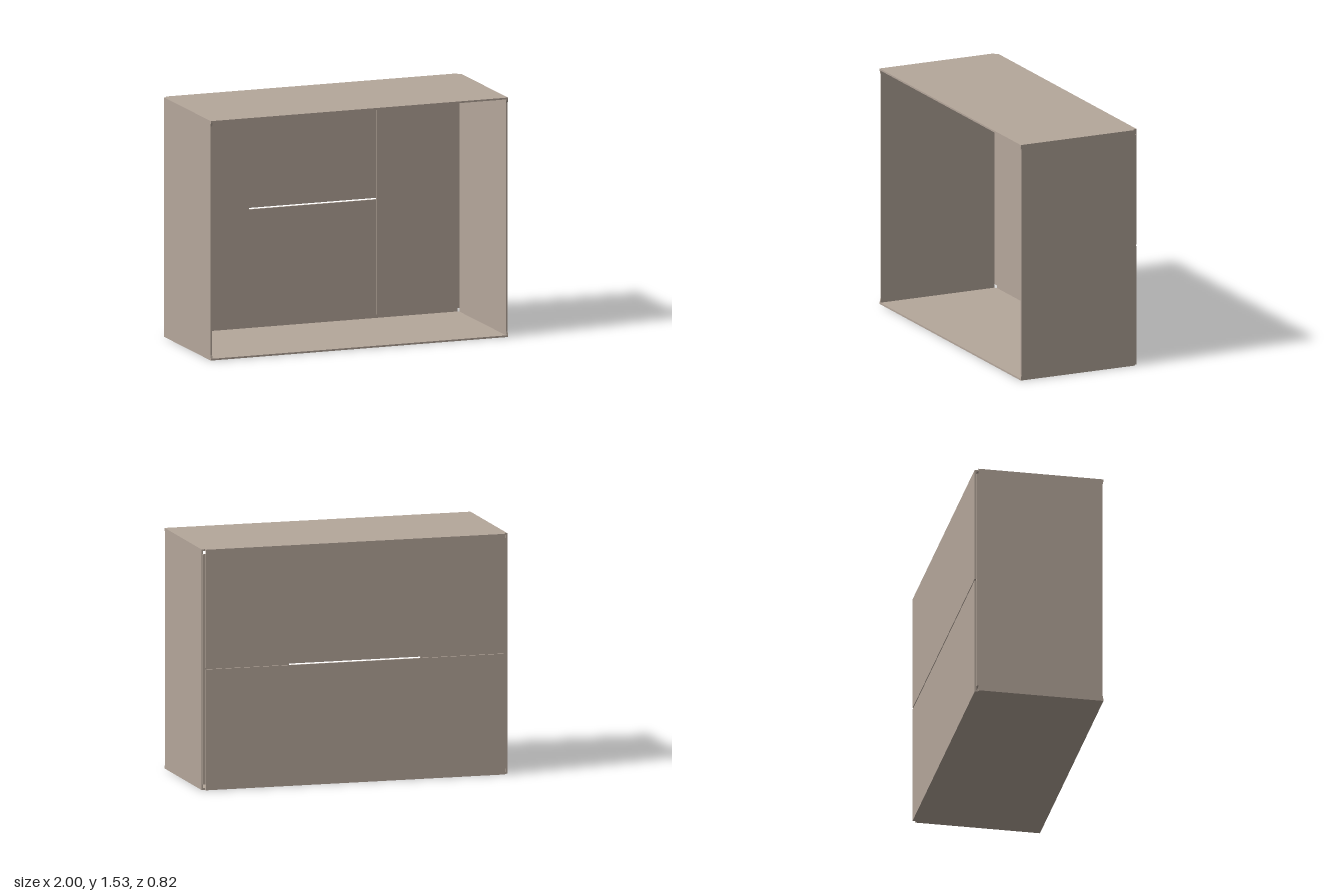
import * as THREE from 'three';

const H = 1.53, T = 0.011; // box height, board thickness
const BACK = -0.409, FRONT = 0.409;
const FOLD = -0.388; // rear edge of the side walls

export function createModel() {
  const group = new THREE.Group();
  group.name = 'openCarton';
  const cardboard = new THREE.MeshStandardMaterial({ color: 0xb5a79b });
  cardboard.name = 'cardboard';

  const add = (name, geometry) => {
    const mesh = new THREE.Mesh(geometry, cardboard);
    mesh.name = name;
    group.add(mesh);
    return mesh;
  };
  // Box given by its lower and upper corners
  const slab = (name, [x0, y0, z0], [x1, y1, z1]) => {
    const mesh = add(name, new THREE.BoxGeometry(x1 - x0, y1 - y0, z1 - z0));
    mesh.position.set((x0 + x1) / 2, (y0 + y1) / 2, (z0 + z1) / 2);
  };
  const board = (points) => new THREE.ExtrudeGeometry(
    new THREE.Shape(points.map(([a, b]) => new THREE.Vector2(a, b))),
    { depth: T, bevelEnabled: false });

  // Top and bottom panels, notched at the rear corners (outline in x, -z)
  const panel = [
    [-1, -FRONT], [1, -FRONT], [1, -FOLD], [0.978, -FOLD], [0.978, -BACK - T],
    [-0.978, -BACK - T], [-0.978, -FOLD], [-1, -FOLD],
  ];
  for (const [name, y] of [['bottomPanel', 0], ['topPanel', H - T]]) {
    const geometry = board(panel);
    geometry.rotateX(-Math.PI / 2);
    add(name, geometry).position.y = y;
  }

  // Side walls with slightly relieved front edges (outline in -z, y)
  const wall = [
    [-FRONT, T], [-FOLD, T], [-FOLD, H - T], [-FRONT, H - T],
    [-0.404, H - 0.035], [-0.404, 0.035],
  ];
  for (const [side, s] of [['left', 1], ['right', -1]]) {
    const geometry = board(wall);
    geometry.rotateY(Math.PI / 2);
    add(side + 'Wall', geometry).position.x = s > 0 ? 1 - T : -1;

    // Inner rear flap, folded in from the side wall
    const a = s * 0.43, b = s * 0.995;
    slab(side + 'InnerFlap', [Math.min(a, b), 0.035, FOLD - 0.009], [Math.max(a, b), 1.5, FOLD + 0.002]);
  }

  // Outer rear flaps, meeting at a narrow slit
  slab('lowerOuterFlap', [-0.978, 0, BACK], [0.978, 0.768, BACK + T]);
  slab('upperOuterFlap', [-0.978, 0.778, BACK], [0.978, H, BACK + T]);

  return group;
}
